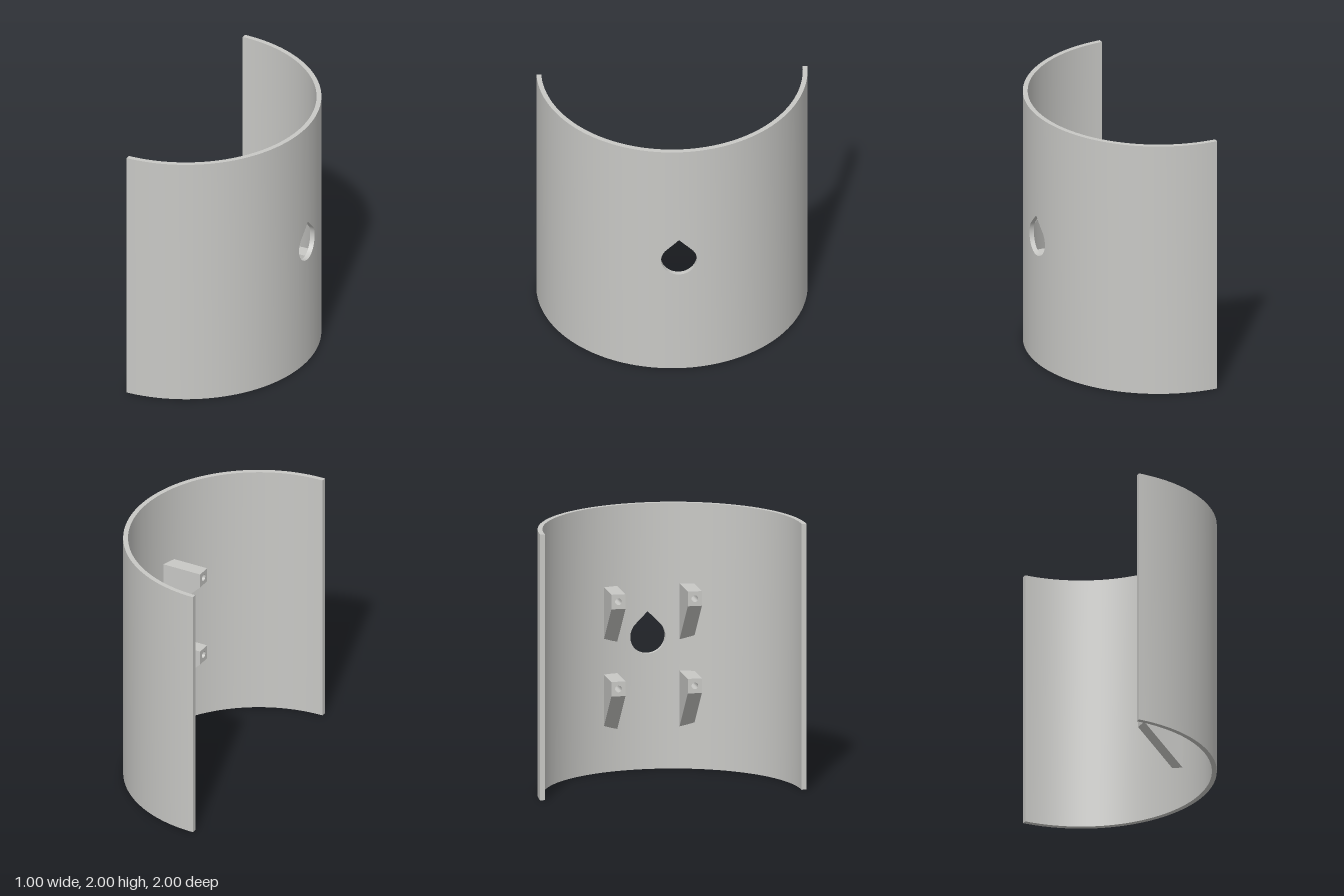
import * as THREE from 'three';
import { toCreasedNormals } from 'three/addons/utils/BufferGeometryUtils.js';

const OUTER = 1, INNER = 0.964, HEIGHT = 2, AXIS_X = -0.5;
const HOLE_R = 0.132, HOLE_Y = 1;

// One upright section of the wall: outer and inner plan points, plus hole limits
function column(zOut, zIn, lo = HOLE_Y, hi = HOLE_Y) {
  const at = (r, z) => [AXIS_X + Math.sqrt(Math.max(0, r * r - z * z)), z];
  return { out: at(OUTER, zOut), inn: at(INNER, zIn), lo, hi };
}

// Half-round wall with a teardrop opening cut along x
function shellGeometry() {
  const cols = [];
  const edge = Math.asin(HOLE_R), steps = 36;
  const arc = (from, to, first, last) => {
    for (let i = first; i <= last; i++) {
      const s = Math.sin(from + (to - from) * i / steps);
      cols.push(column(OUTER * s, INNER * s));
    }
  };
  arc(-Math.PI / 2, -edge, 0, steps - 1);
  for (let k = 24; k >= 0; k--) {
    const z = HOLE_R * Math.cos(k * Math.PI / 24);
    const h = Math.sqrt(Math.max(0, HOLE_R * HOLE_R - z * z));
    const roof = Math.abs(z) > HOLE_R * Math.SQRT1_2 ? h : HOLE_R * Math.SQRT2 - Math.abs(z);
    cols.push(column(z, z, HOLE_Y - h, HOLE_Y + roof));
  }
  arc(edge, Math.PI / 2, 1, steps);

  const pos = [];
  const p = (c, y) => [c[0], y, c[1]];
  const quad = (a, b, c, d) => pos.push(...a, ...b, ...c, ...a, ...c, ...d);
  const wall = (a, b, a0, a1, b0, b1) => {
    quad(p(a.out, a0), p(a.out, a1), p(b.out, b1), p(b.out, b0));
    quad(p(a.inn, a0), p(b.inn, b0), p(b.inn, b1), p(a.inn, a1));
  };
  const faceUp = (a, b, ya, yb) => quad(p(a.out, ya), p(a.inn, ya), p(b.inn, yb), p(b.out, yb));
  const faceDown = (a, b, ya, yb) => quad(p(a.out, ya), p(b.out, yb), p(b.inn, yb), p(a.inn, ya));

  for (let i = 0; i < cols.length - 1; i++) {
    const a = cols[i], b = cols[i + 1];
    wall(a, b, 0, a.lo, 0, b.lo);
    wall(a, b, a.hi, HEIGHT, b.hi, HEIGHT);
    faceUp(a, b, HEIGHT, HEIGHT);
    faceDown(a, b, 0, 0);
    // Lining of the opening
    if (a.hi > a.lo || b.hi > b.lo) {
      faceUp(a, b, a.lo, b.lo);
      faceDown(a, b, a.hi, b.hi);
    }
  }
  // Straight end faces
  const s = cols[0], e = cols[cols.length - 1];
  quad(p(s.out, 0), p(s.inn, 0), p(s.inn, HEIGHT), p(s.out, HEIGHT));
  quad(p(e.inn, 0), p(e.out, 0), p(e.out, HEIGHT), p(e.inn, HEIGHT));

  const g = new THREE.BufferGeometry();
  g.setAttribute('position', new THREE.Float32BufferAttribute(pos, 3));
  return toCreasedNormals(g, Math.PI / 6);
}

// Screw block with a 45 degree gusset beneath it
function makeBracket(material) {
  const bracket = new THREE.Group();
  const w = 0.106, h = 0.11, len = 0.312;

  const face = new THREE.Shape([
    new THREE.Vector2(-w / 2, -h / 2), new THREE.Vector2(w / 2, -h / 2),
    new THREE.Vector2(w / 2, h / 2), new THREE.Vector2(-w / 2, h / 2),
  ]);
  face.holes.push(new THREE.Path().absarc(0, 0, 0.025, 0, Math.PI * 2, true));
  const blockGeo = new THREE.ExtrudeGeometry(face, { depth: len, bevelEnabled: false, curveSegments: 16 });
  blockGeo.rotateY(Math.PI / 2);
  const block = new THREE.Mesh(toCreasedNormals(blockGeo, Math.PI / 6), material);
  block.name = 'screwBlock';

  const tri = new THREE.Shape([
    new THREE.Vector2(0, -h / 2), new THREE.Vector2(len, -h / 2 - len), new THREE.Vector2(len, -h / 2),
  ]);
  const gussetGeo = new THREE.ExtrudeGeometry(tri, { depth: w, bevelEnabled: false });
  gussetGeo.translate(0, 0, -w / 2);
  const gusset = new THREE.Mesh(gussetGeo, material);
  gusset.name = 'gusset';

  bracket.add(block, gusset);
  return bracket;
}

export function createModel() {
  const model = new THREE.Group();
  model.name = 'halfRoundCover';
  const grey = new THREE.MeshStandardMaterial({ color: 0xc8c8c5 });
  grey.name = 'light grey';

  const shell = new THREE.Mesh(shellGeometry(), grey);
  shell.name = 'shell';
  model.add(shell);

  // Four brackets around the opening
  for (const side of [-1, 1]) {
    for (const level of [-1, 1]) {
      const bracket = makeBracket(grey);
      bracket.name = `${level > 0 ? 'upper' : 'lower'}${side > 0 ? 'Front' : 'Back'}Bracket`;
      bracket.position.set(0.125, 1.01 + level * 0.328, side * 0.287);
      model.add(bracket);
    }
  }
  return model;
}
